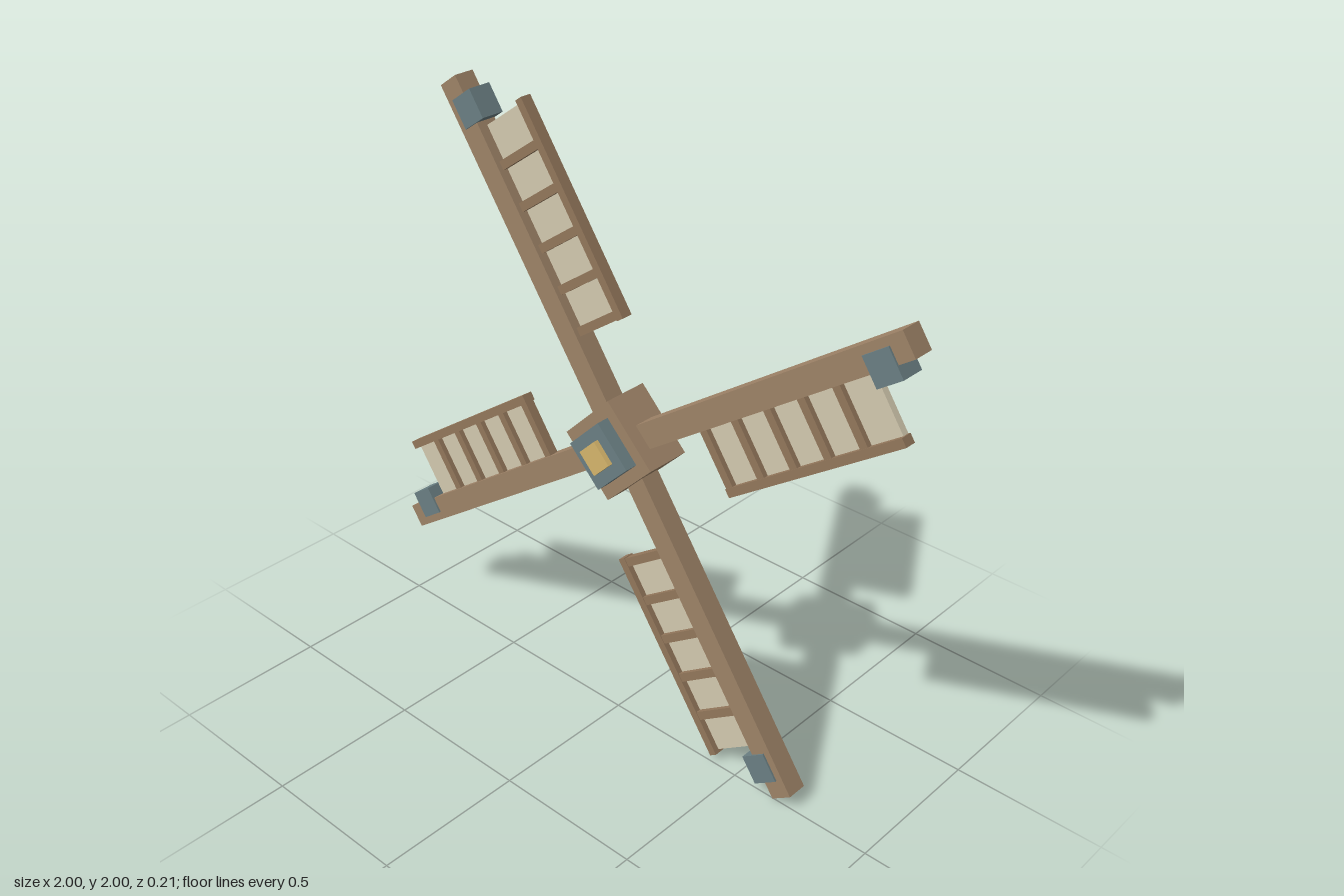
import * as THREE from 'three';

const material = (name, color) => {
  const m = new THREE.MeshStandardMaterial({ color });
  m.name = name;
  return m;
};

export function createModel() {
  const wood = material('wood', 0x9f8468);
  const lattice = material('latticeWood', 0x94785c);
  const cloth = material('cloth', 0xd4cab0);
  const iron = material('iron', 0x6b8084);
  const brass = material('brass', 0xd6b66c);

  // Box given by its extents on each axis
  const box = (parent, name, mat, [x0, x1], [y0, y1], [z0, z1]) => {
    const mesh = new THREE.Mesh(new THREE.BoxGeometry(x1 - x0, y1 - y0, z1 - z0), mat);
    mesh.position.set((x0 + x1) / 2, (y0 + y1) / 2, (z0 + z1) / 2);
    mesh.name = name;
    parent.add(mesh);
  };

  const model = new THREE.Group();
  model.name = 'windmillSails';

  // Hub: stacked square blocks turned on their corners
  const hub = new THREE.Group();
  hub.name = 'hub';
  hub.position.y = 1;
  hub.rotation.z = Math.PI / 4;
  const square = (name, mat, half, z) => box(hub, name, mat, [-half, half], [-half, half], z);
  square('hubBlock', wood, 0.122, [-0.107, 0.047]);
  square('hubPlate', iron, 0.082, [0.047, 0.09]);
  square('hubCap', brass, 0.042, [0.09, 0.107]);
  model.add(hub);

  // Four identical blades; each runs along local +x with its sail on the -y side
  for (let i = 0; i < 4; i++) {
    const blade = new THREE.Group();
    blade.name = 'blade' + (i + 1);
    blade.position.y = 1;
    blade.rotation.z = THREE.MathUtils.degToRad(35 + 90 * i);

    box(blade, 'spar', wood, [0.05, 1.195], [-0.04, 0.04], [-0.067, 0.003]);
    box(blade, 'tipClamp', iron, [1.043, 1.137], [-0.08, 0.014], [-0.071, 0.009]);
    box(blade, 'sailRail', lattice, [0.343, 1.037], [-0.25, -0.222], [-0.048, -0.01]);

    // A crossbar at the inner end of each cloth panel
    for (let k = 0; k < 5; k++) {
      const u = 0.36 + 0.135 * k;
      box(blade, 'sailBar', lattice, [u - 0.014, u + 0.014], [-0.225, -0.035], [-0.044, -0.012]);
      box(blade, 'sailCloth', cloth, [u - 0.004, u + 0.127], [-0.238, -0.038], [-0.051, -0.029]);
    }
    model.add(blade);
  }
  return model;
}
